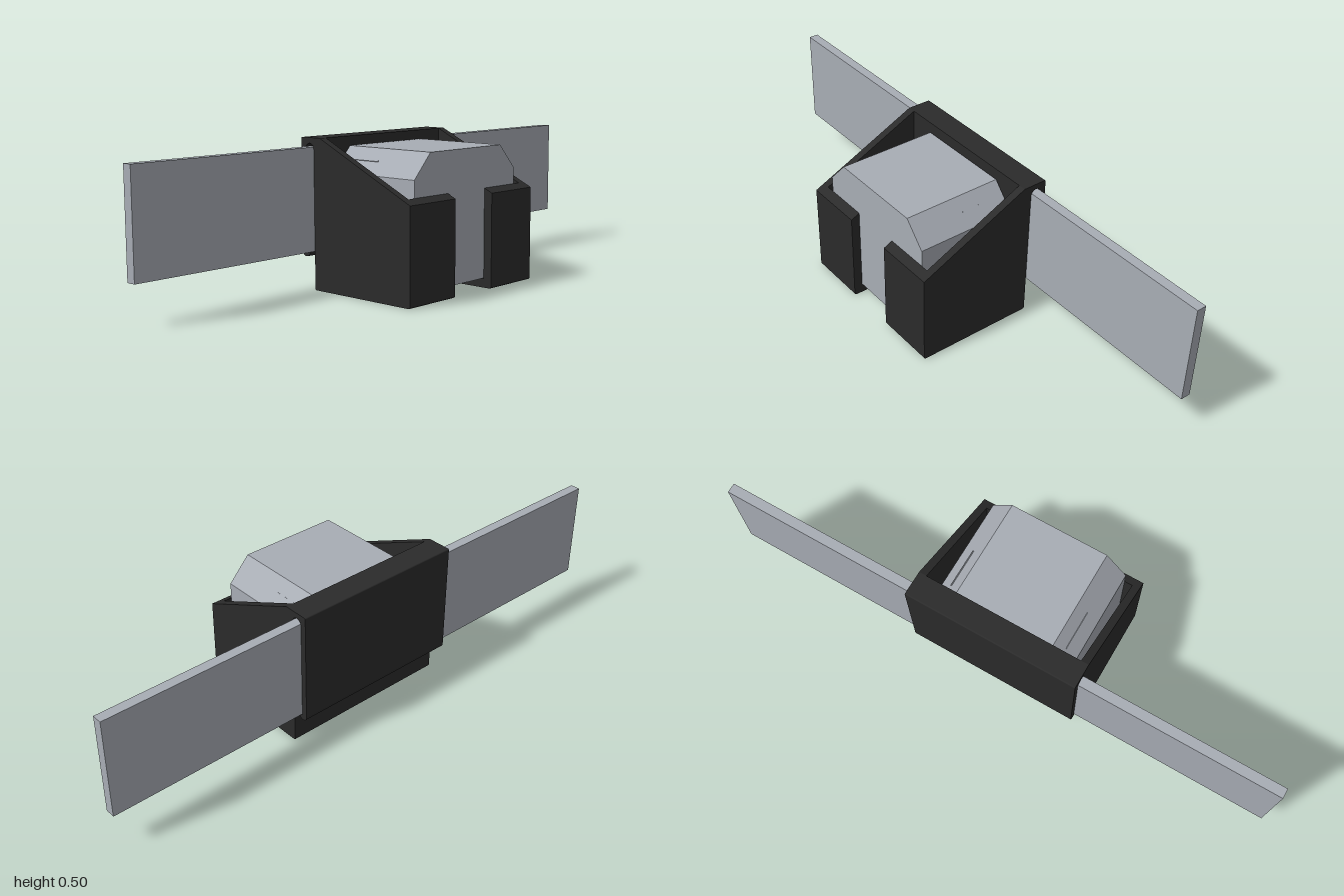
import * as THREE from 'three';

const black = new THREE.MeshStandardMaterial({ color: 0x2b2b2b });
black.name = 'black plastic';
const grey = new THREE.MeshStandardMaterial({ color: 0xa8adb5 });
grey.name = 'light grey';

const HALF = 0.305, INNER = 0.278, SLOT = 0.092;
const BACK = -0.152, FRONT = 0.238, FRONT_IN = 0.207, FLOOR = 0.03;
const slopeY = (z) => 0.5 - ((z - BACK) * 0.182) / (FRONT - BACK);

export function createModel() {
  const model = new THREE.Group();
  model.name = 'clipHolder';

  const add = (parent, name, geometry, material) => {
    const mesh = new THREE.Mesh(geometry, material);
    mesh.name = name;
    parent.add(mesh);
    return mesh;
  };
  const polygon = (pts) => new THREE.Shape(pts.map(([x, y]) => new THREE.Vector2(x, y)));
  const extrude = (shape, depth) =>
    new THREE.ExtrudeGeometry(shape, { depth, bevelEnabled: false, curveSegments: 20 });
  // Profile drawn in (z, y), swept from x0 to x1
  const sweepX = (shape, x0, x1) => extrude(shape, x1 - x0).rotateY(-Math.PI / 2).translate(x1, 0, 0);

  const holder = new THREE.Group();
  holder.name = 'holder';
  model.add(holder);

  // Back wall running over into the hanging clip
  const clip = new THREE.Shape();
  clip.moveTo(BACK, 0);
  clip.lineTo(BACK, 0.5);
  clip.lineTo(-0.233, 0.5);
  clip.quadraticCurveTo(-0.238, 0.5, -0.238, 0.495);
  clip.lineTo(-0.238, 0.126);
  clip.absarc(-0.22, 0.126, 0.018, Math.PI, 2 * Math.PI, false);
  clip.lineTo(-0.218, 0.126);
  clip.lineTo(-0.218, 0.4625);
  clip.absarc(-0.199, 0.4625, 0.019, Math.PI, 0, true);
  clip.lineTo(-0.18, 0.006);
  clip.quadraticCurveTo(-0.18, 0, -0.174, 0);
  add(holder, 'backWallAndClip', sweepX(clip, -HALF, HALF), black);

  // Sloped side walls and the two front panels beside the open slot
  const side = polygon([[BACK, 0], [FRONT_IN, 0], [FRONT_IN, slopeY(FRONT_IN)], [BACK, 0.5]]);
  const front = polygon([
    [FRONT_IN, 0], [FRONT - 0.006, 0], [FRONT - 0.002, 0.002], [FRONT, 0.006],
    [FRONT, slopeY(FRONT)], [FRONT_IN, slopeY(FRONT_IN)],
  ]);
  for (const [label, s] of [['left', 1], ['right', -1]]) {
    const span = (a, b) => (s > 0 ? [a, b] : [-b, -a]);
    add(holder, label + 'Wall', sweepX(side, ...span(INNER, HALF)), black);
    add(holder, label + 'FrontPanel', sweepX(front, ...span(SLOT, HALF)), black);
  }

  // Floor with a round-ended notch, drawn in (x, z)
  const floor = new THREE.Shape();
  floor.moveTo(-INNER, BACK);
  floor.lineTo(INNER, BACK);
  floor.lineTo(INNER, FRONT_IN);
  floor.lineTo(SLOT, FRONT_IN);
  floor.lineTo(SLOT, 0.065);
  floor.absarc(0, 0.065, SLOT, 0, Math.PI, true);
  floor.lineTo(-SLOT, FRONT_IN);
  floor.lineTo(-INNER, FRONT_IN);
  add(holder, 'floor', extrude(floor, FLOOR).rotateX(Math.PI / 2).translate(0, FLOOR, 0), black);

  // Chamfered block in the holder, in two sections
  const block = new THREE.Group();
  block.name = 'block';
  model.add(block);
  const section = polygon([
    [-0.25, FLOOR + 0.002], [0.25, FLOOR + 0.002], [0.25, 0.388],
    [0.175, 0.469], [-0.175, 0.469], [-0.25, 0.388],
  ]);
  add(block, 'blockRear', extrude(section, 0.205).translate(0, 0, -0.145), grey);
  add(block, 'blockFront', extrude(section, 0.146).translate(0, 0, 0.06), grey);

  // Fine ridges on the chamfers
  for (const s of [-1, 1]) {
    const ridge = add(block, s > 0 ? 'leftRidge' : 'rightRidge',
      new THREE.BoxGeometry(0.005, 0.004, 0.138), grey);
    ridge.position.set(s * 0.2115, 0.4305, -0.051);
    ridge.rotation.z = -s * Math.atan2(0.081, 0.075);
  }

  // Long flat bar held by the clip
  const bar = add(model, 'bar', new THREE.BoxGeometry(2, 0.342, 0.034), grey);
  bar.position.set(0, 0.299, -0.2);

  return model;
}
